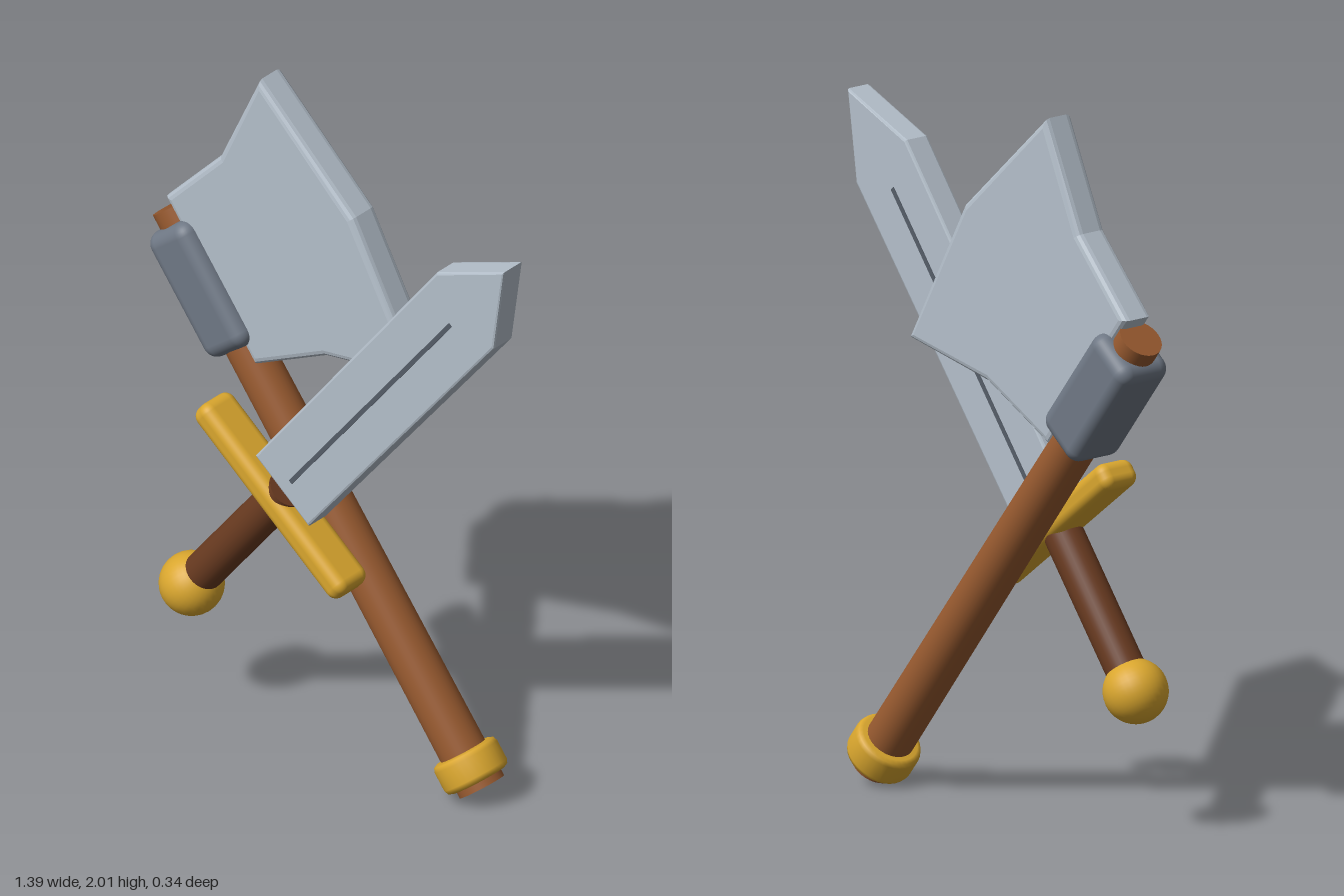
import * as THREE from 'three';
import { RoundedBoxGeometry } from 'three/addons/geometries/RoundedBoxGeometry.js';

const mat = (name, color) => {
  const m = new THREE.MeshStandardMaterial({ color });
  m.name = name;
  return m;
};

// Flat plate from an outline, centred on z, with bevels kept inside the outline
function plate(points, depth, bevel, bevelSegments) {
  const shape = new THREE.Shape(points.map(([x, y]) => new THREE.Vector2(x, y)));
  const geo = new THREE.ExtrudeGeometry(shape, {
    depth: depth - 2 * bevel, bevelEnabled: true, bevelThickness: bevel,
    bevelSize: bevel, bevelOffset: -bevel, bevelSegments,
  });
  return geo.translate(0, 0, -depth / 2 + bevel);
}

export function createModel() {
  const steel = mat('steel', 0xb4bfca);
  const darkSteel = mat('dark steel', 0x6f7885);
  const groove = mat('groove grey', 0x555d68);
  const gold = mat('gold', 0xd9a62e);
  const wood = mat('wood', 0x96592f);
  const leather = mat('dark leather', 0x683a20);

  const add = (group, name, geo, material, y = 0, z = 0) => {
    const mesh = new THREE.Mesh(geo, material);
    mesh.name = name;
    mesh.position.set(0, y, z);
    group.add(mesh);
    return mesh;
  };
  const tilt = THREE.MathUtils.degToRad(38);

  // Axe: local y runs up the handle, the blade grows toward local +x
  const axe = new THREE.Group();
  axe.name = 'axe';
  axe.position.set(-0.097, 0.748, -0.073);
  axe.rotation.z = tilt;
  add(axe, 'axeHandle', new THREE.CylinderGeometry(0.062, 0.068, 1.79, 32), wood);
  add(axe, 'axeBlade', plate([
    [0.04, 0.41], [0.319, 0.356], [0.612, 0.203], [0.688, 0.672],
    [0.612, 1.12], [0.319, 0.972], [0.04, 0.93],
  ], 0.1, 0.02, 3), steel);
  add(axe, 'axeSocket', new RoundedBoxGeometry(0.176, 0.383, 0.178, 4, 0.04), darkSteel, 0.66);
  // Rounded collar near the foot of the handle
  const collar = [[0.05, -0.045], [0.08, -0.045], [0.091, -0.04], [0.096, -0.028],
    [0.096, 0.028], [0.091, 0.04], [0.08, 0.045], [0.05, 0.045]];
  add(axe, 'handleCollar',
    new THREE.LatheGeometry(collar.map(([x, y]) => new THREE.Vector2(x, y)), 32), gold, -0.83);

  // Sword: local origin at the pommel, local y runs to the tip
  const sword = new THREE.Group();
  sword.name = 'sword';
  sword.position.set(-0.45, 0.4, 0.08);
  sword.rotation.z = -tilt;
  add(sword, 'pommel', new THREE.SphereGeometry(0.09, 32, 20), gold);
  add(sword, 'grip', new THREE.CylinderGeometry(0.056, 0.056, 0.55, 32), leather, 0.285);
  add(sword, 'crossGuard', new RoundedBoxGeometry(0.645, 0.078, 0.124, 4, 0.03), gold, 0.515);
  add(sword, 'swordBlade', plate([
    [-0.121, 0.575], [0.121, 0.575], [0.13, 1.637], [0, 1.862], [-0.13, 1.637],
  ], 0.08, 0.007, 2), steel);
  // Thin central line on both faces of the blade
  for (const side of [1, -1]) {
    add(sword, side > 0 ? 'frontFuller' : 'backFuller',
      new THREE.BoxGeometry(0.013, 0.925, 0.006), groove, 1.093, side * 0.04);
  }

  const model = new THREE.Group();
  model.name = 'crossedSwordAndAxe';
  model.add(axe, sword);
  return model;
}
